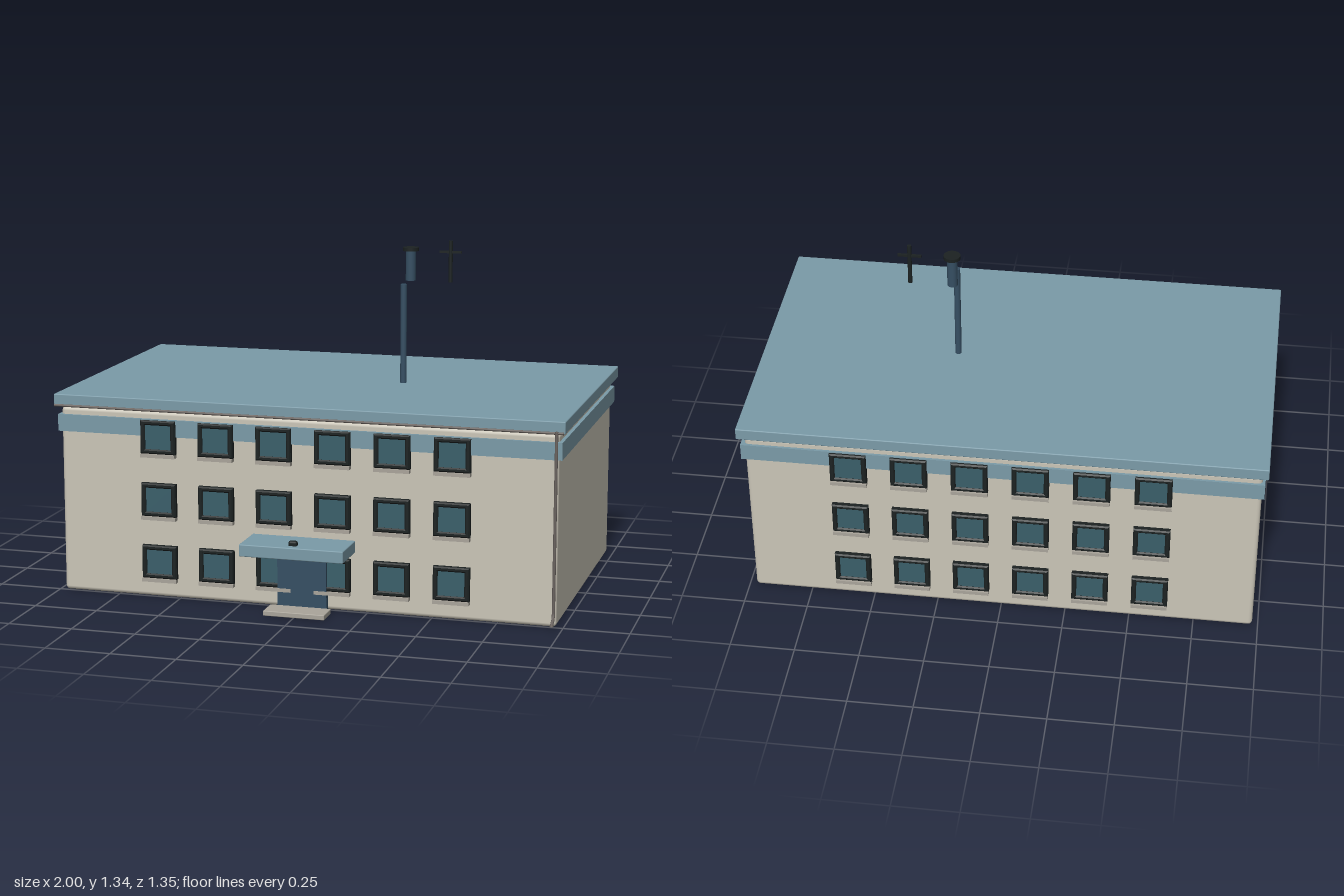
import * as THREE from 'three';
import { RoundedBoxGeometry } from 'three/addons/geometries/RoundedBoxGeometry.js';

const mat = (color) => new THREE.MeshStandardMaterial({ color });
const wall = mat(0xcbc6b8), roofBlue = mat(0x7b9ba8), steel = mat(0x364f63), glass = mat(0x3a5f6a),
  dark = mat(0x1c2222), stone = mat(0xaaa59b), pipe = mat(0x6b6460);

const MID_Z = -0.0725; // centre line of the building
const HALF_D = 0.5755; // half depth of the walls

function add(parent, name, geometry, material, x, y, z) {
  const mesh = new THREE.Mesh(geometry, material);
  mesh.name = name;
  mesh.position.set(x, y, z);
  parent.add(mesh);
  return mesh;
}
const box = (w, h, d) => new THREE.BoxGeometry(w, h, d);
const rounded = (w, h, d, r) => new RoundedBoxGeometry(w, h, d, 2, r);
const cylinder = (r, h) => new THREE.CylinderGeometry(r, r, h, 20);

// Square window frame with a bevelled edge, its back on z = 0
function frameGeometry() {
  const square = (path, w, h) => path.moveTo(-w, -h).lineTo(w, -h).lineTo(w, h).lineTo(-w, h).closePath();
  const shape = square(new THREE.Shape(), 0.065, 0.06);
  shape.holes.push(square(new THREE.Path(), 0.056, 0.052));
  return new THREE.ExtrudeGeometry(shape, {
    depth: 0.017, bevelEnabled: true, bevelSize: 0.005, bevelThickness: 0.005, bevelSegments: 1,
  });
}

// Grid of windows for one long wall, facing +z
function windowWall(name) {
  const group = new THREE.Group();
  group.name = name;
  const frame = frameGeometry(), pane = box(0.114, 0.106, 0.016), sill = box(0.139, 0.014, 0.026);
  for (const y of [0.145, 0.391, 0.637]) {
    for (let i = 0; i < 6; i++) {
      const x = (i - 2.5) * 0.231;
      add(group, 'windowFrame', frame, dark, x, y, 0);
      add(group, 'windowGlass', pane, glass, x, y, 0.008);
      add(group, 'windowSill', sill, stone, x, y - 0.072, 0.013);
    }
  }
  return group;
}

export function createModel() {
  const model = new THREE.Group();
  model.name = 'building';

  // Main block, band and flat roof
  add(model, 'walls', rounded(1.952, 0.733, 2 * HALF_D, 0.016), wall, -0.002, 0.3695, MID_Z);
  add(model, 'band', box(1.976, 0.066, 1.171), roofBlue, 0, 0.673, MID_Z);
  add(model, 'roof', rounded(2, 0.047, 1.195, 0.004), roofBlue, 0, 0.7635, MID_Z);

  // Windows on front and back
  const front = windowWall('frontWindows');
  front.position.z = MID_Z + HALF_D - 0.001;
  const back = windowWall('backWindows');
  back.position.z = MID_Z - HALF_D + 0.001;
  back.rotation.y = Math.PI;
  model.add(front, back);

  // Entrance
  add(model, 'door', box(0.194, 0.236, 0.027), steel, -0.002, 0.12, 0.5125);
  add(model, 'canopy', rounded(0.406, 0.047, 0.175, 0.004), roofBlue, -0.001, 0.258, 0.5875);
  add(model, 'lamp', rounded(0.034, 0.024, 0.022, 0.008), dark, -0.002, 0.288, 0.635);
  add(model, 'step', rounded(0.24, 0.02, 0.094, 0.003), stone, 0, 0.012, 0.597);

  // Gutter and downspout with an outward foot
  const gutter = add(model, 'gutter', cylinder(0.005, 1.99), pipe, 0, 0.744, 0.53);
  gutter.rotation.z = Math.PI / 2;
  const path = new THREE.CurvePath();
  const pts = [[0.75, 0.532], [0.055, 0.532], [0.045, 0.536], [0.028, 0.57]]
    .map(([y, z]) => new THREE.Vector3(0.969, y, z));
  for (let i = 0; i < 3; i++) path.add(new THREE.LineCurve3(pts[i], pts[i + 1]));
  add(model, 'downspout', new THREE.TubeGeometry(path, 48, 0.006, 10, false),
    new THREE.MeshStandardMaterial({ color: 0x6b6460, side: THREE.DoubleSide }), 0, 0, 0);

  // Roof mast, with the capped vent and the aerial standing clear above
  add(model, 'mast', cylinder(0.0125, 0.4), steel, 0.24, 0.98, -0.072);
  add(model, 'vent', cylinder(0.02, 0.12), steel, 0.24, 1.24, -0.183);
  add(model, 'ventCap', cylinder(0.032, 0.014), dark, 0.24, 1.305, -0.183);
  add(model, 'aerialPost', cylinder(0.008, 0.165), dark, 0.402, 1.2605, -0.183);
  add(model, 'aerialBar', box(0.09, 0.009, 0.009), dark, 0.402, 1.298, -0.183);

  return model;
}
